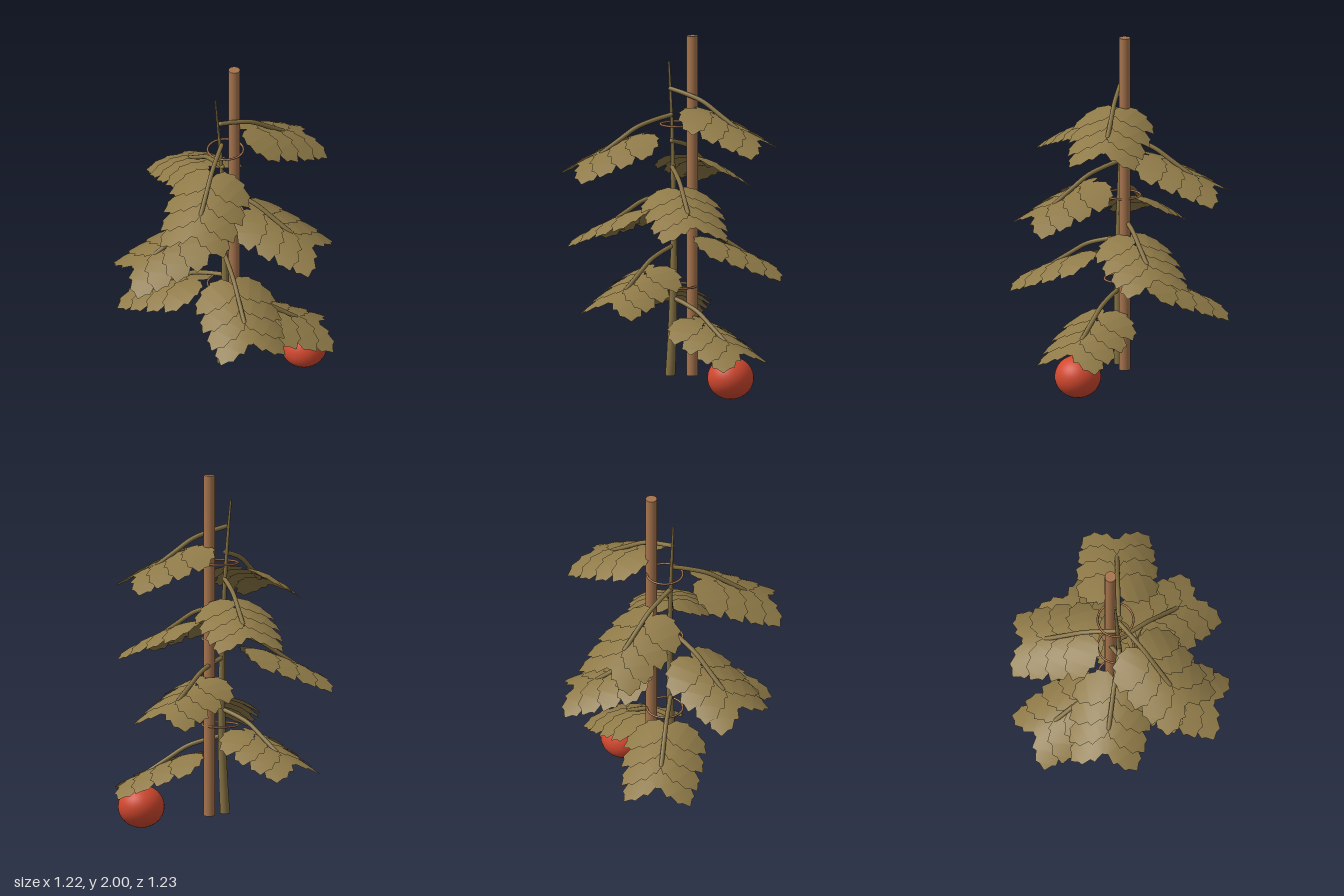
import * as THREE from 'three';

const mat = (name, color, side = THREE.FrontSide) => {
  const m = new THREE.MeshStandardMaterial({ color, side });
  m.name = name;
  return m;
};

// sideways drift of the main stem with height
const stemX = (y) => 0.012 - 0.02 * Math.pow((y - 0.7) / 0.62, 2) * (y > 0.7 ? 0.75 : 1);

// height of the leaf midline at distance x from the stem
const midline = (x) => -0.08 - 0.3 * (x - 0.13) - 0.35 * (x - 0.13) ** 2;

// half width of a toothed leaflet along its length
const OUTLINE = [[0, 0.025], [0.03, 0.075], [0.05, 0.075], [0.095, 0.1], [0.105, 0.086],
  [0.165, 0.095], [0.175, 0.07], [0.228, 0.06], [0.235, 0.035], [0.262, 0.004]];

// one leaflet: rows across its length, bent down at the side of the leaf
function leafletGeometry(start, angle, length, side) {
  const cols = 6, pos = [], index = [];
  const c = Math.cos(angle), s = Math.sin(angle);
  for (const [u0, w] of OUTLINE) {
    const u = u0 * length;
    for (let j = 0; j <= cols; j++) {
      const v = w * (j / cols * 2 - 1);
      const x = start + u * c - v * s;
      const z = u * s + v * c;
      pos.push(x, midline(x) - 1.7 * z * z + 0.13 * (x - start - 0.08), z * side);
    }
  }
  for (let i = 0; i < OUTLINE.length - 1; i++) {
    for (let j = 0; j < cols; j++) {
      const a = i * (cols + 1) + j, b = a + 1, d = a + cols + 1, e = d + 1;
      if (side > 0) index.push(a, b, d, b, e, d);
      else index.push(a, d, b, b, d, e);
    }
  }
  const g = new THREE.BufferGeometry();
  g.setAttribute('position', new THREE.Float32BufferAttribute(pos, 3));
  g.setIndex(index);
  g.computeVertexNormals();
  return g;
}

export function createModel() {
  const root = new THREE.Group();
  root.name = 'stakedPlant';
  const leafMat = mat('leaf olive', 0x8f7a48, THREE.DoubleSide);
  const stemMat = mat('stem olive', 0x857142);
  const woodMat = mat('stake wood', 0xa5734c);
  const fruitMat = mat('fruit red', 0xd2482f);
  const calyxMat = mat('calyx green', 0x2f7d38, THREE.DoubleSide);

  const add = (parent, name, geometry, material, x = 0, y = 0, z = 0) => {
    const m = new THREE.Mesh(geometry, material);
    m.name = name;
    m.position.set(x, y, z);
    parent.add(m);
    return m;
  };

  // support stake
  add(root, 'stake', new THREE.CylinderGeometry(0.032, 0.032, 1.92, 24), woodMat, 0.08, 1.04, -0.08);

  // tapered, slightly bowed main stem
  const stem = new THREE.CylinderGeometry(0.006, 0.028, 1.77, 14, 24);
  stem.translate(0, 0.965, 0);
  const p = stem.attributes.position;
  for (let i = 0; i < p.count; i++) {
    const y = p.getY(i);
    p.setX(i, p.getX(i) + stemX(y));
    p.setZ(i, p.getZ(i) + 0.008 - 0.012 * y);
  }
  stem.computeVertexNormals();
  add(root, 'mainStem', stem, stemMat);

  // tie rings around stem and stake
  for (const y of [0.585, 1.07, 1.5]) {
    const ring = add(root, 'tieRing', new THREE.TorusGeometry(0.1, 0.006, 8, 40), woodMat, 0.02, y, -0.03);
    ring.rotation.x = Math.PI / 2;
  }

  // leaf parts shared by all leaves
  const petiolePath = new THREE.CatmullRomCurve3([[0, 0], [0.1, -0.025], [0.2, -0.06], [0.3, -0.125], [0.41, -0.2]]
    .map(([x, y]) => new THREE.Vector3(x, y, 0)));
  const petiole = new THREE.TubeGeometry(petiolePath, 16, 0.013, 10);
  const petioleEnd = new THREE.SphereGeometry(0.013, 10, 8);
  const pairs = [[0.17, 72, 0.93], [0.25, 63, 0.98], [0.33, 54, 1], [0.41, 47, 0.97]];
  const leaflets = [];
  for (const [start, deg, length] of pairs) {
    for (const side of [1, -1]) {
      leaflets.push(leafletGeometry(start, THREE.MathUtils.degToRad(deg), length, side));
    }
  }

  // leaves spiral up the stem by the golden angle
  for (let i = 0; i < 9; i++) {
    const y = 0.52 + 0.1475 * i;
    const leaf = new THREE.Group();
    leaf.name = 'leaf';
    leaf.position.set(stemX(y) * 0.5, y, 0);
    leaf.rotation.y = THREE.MathUtils.degToRad(137.5 * i);
    add(leaf, 'petiole', petiole, stemMat);
    add(leaf, 'petioleBase', petioleEnd, stemMat);
    add(leaf, 'petioleEnd', petioleEnd, stemMat, 0.41, -0.2, 0);
    for (const g of leaflets) add(leaf, 'leaflet', g, leafMat);
    root.add(leaf);
  }

  // fruit under the lowest leaf
  const fruit = new THREE.Group();
  fruit.name = 'fruit';
  fruit.position.set(0.46, 0.12, 0);
  root.add(fruit);
  add(fruit, 'fruitBody', new THREE.SphereGeometry(0.13, 32, 24), fruitMat).scale.y = 0.92;
  add(fruit, 'fruitStalk', new THREE.CylinderGeometry(0.008, 0.008, 0.06, 8), calyxMat, 0, 0.135, 0);

  // star of sepals on top of the fruit
  for (let i = 0; i < 5; i++) {
    const arm = new THREE.Group();
    arm.name = 'sepalArm';
    arm.position.y = 0.12;
    arm.rotation.y = i * Math.PI * 0.4;
    const sepal = add(arm, 'sepal', new THREE.ConeGeometry(0.014, 0.07, 6), calyxMat, 0.032, 0.002, 0);
    sepal.rotation.z = -Math.PI / 2 - 0.1;
    sepal.scale.x = 0.3;
    fruit.add(arm);
  }
  return root;
}
